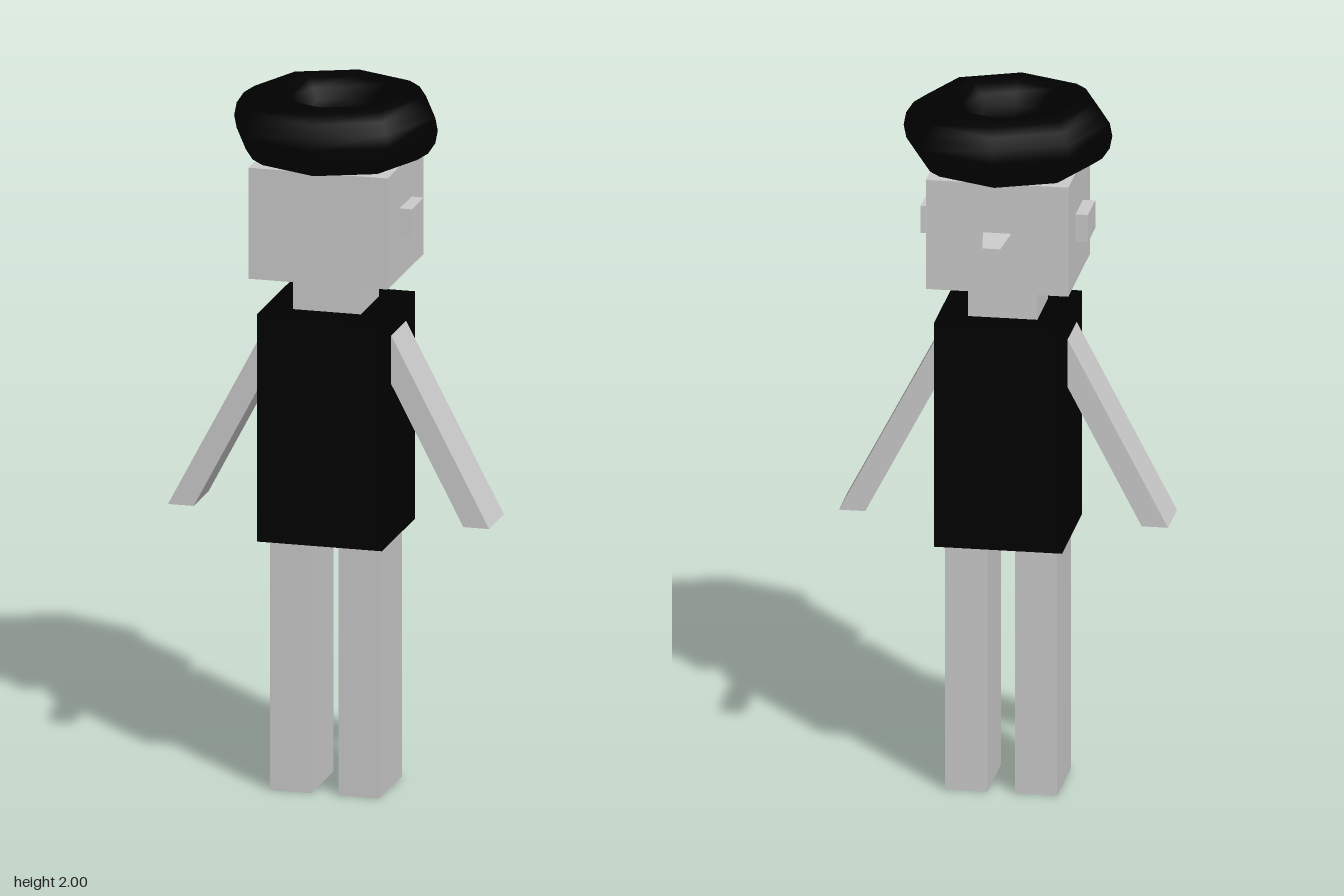
import * as THREE from 'three';

const grey = new THREE.MeshStandardMaterial({ color: 0xcccccc });
const greyFlat = new THREE.MeshStandardMaterial({ color: 0xcccccc, flatShading: true });
const black = new THREE.MeshStandardMaterial({ color: 0x000000 });

export function createModel() {
  const model = new THREE.Group();
  model.name = 'blockFigure';

  const add = (name, geometry, material, x = 0, y = 0, z = 0) => {
    const mesh = new THREE.Mesh(geometry, material);
    mesh.name = name;
    mesh.position.set(x, y, z);
    model.add(mesh);
    return mesh;
  };
  // box given by its size, the height of its bottom and its x centre
  const block = (name, w, h, d, bottom, material = grey, x = 0) =>
    add(name, new THREE.BoxGeometry(w, h, d), material, x, bottom + h / 2);

  // trunk and head
  block('torso', 0.36, 0.655, 0.34, 0.73, black);
  block('neck', 0.195, 0.11, 0.185, 1.382);
  block('head', 0.4, 0.32, 0.367, 1.49);

  // ring-shaped hat, eight-sided from above
  const hat = new THREE.TorusGeometry(0.197, 0.096, 16, 8);
  hat.rotateX(Math.PI / 2);
  add('hat', hat, black, 0, 1.904, 0);

  // nose: box that narrows toward its tip
  const nose = new THREE.BoxGeometry(0.08, 0.065, 0.1);
  const p = nose.attributes.position;
  for (let i = 0; i < p.count; i++) {
    if (p.getZ(i) < 0) p.setXY(i, p.getX(i) * 0.62, p.getY(i) * 0.62);
  }
  add('nose', nose, greyFlat, 0, 1.633, -0.232);

  // slanted arm, cut level at the hand and upright at the shoulder
  const armShape = new THREE.Shape([
    new THREE.Vector2(0.388, 0.79),
    new THREE.Vector2(0.462, 0.79),
    new THREE.Vector2(0.178, 1.33),
    new THREE.Vector2(0.178, 1.19),
  ]);

  // paired parts
  for (const [side, s] of [['left', 1], ['right', -1]]) {
    block(side + 'Leg', 0.118, 0.735, 0.23, 0, grey, s * 0.098);
    block(side + 'Ear', 0.04, 0.08, 0.123, 1.61, grey, s * 0.215);

    const arm = new THREE.ExtrudeGeometry(armShape, { depth: 0.152, bevelEnabled: false });
    arm.translate(0, 0, -0.076);
    if (s < 0) arm.rotateY(Math.PI);
    add(side + 'Arm', arm, grey);
  }
  return model;
}
